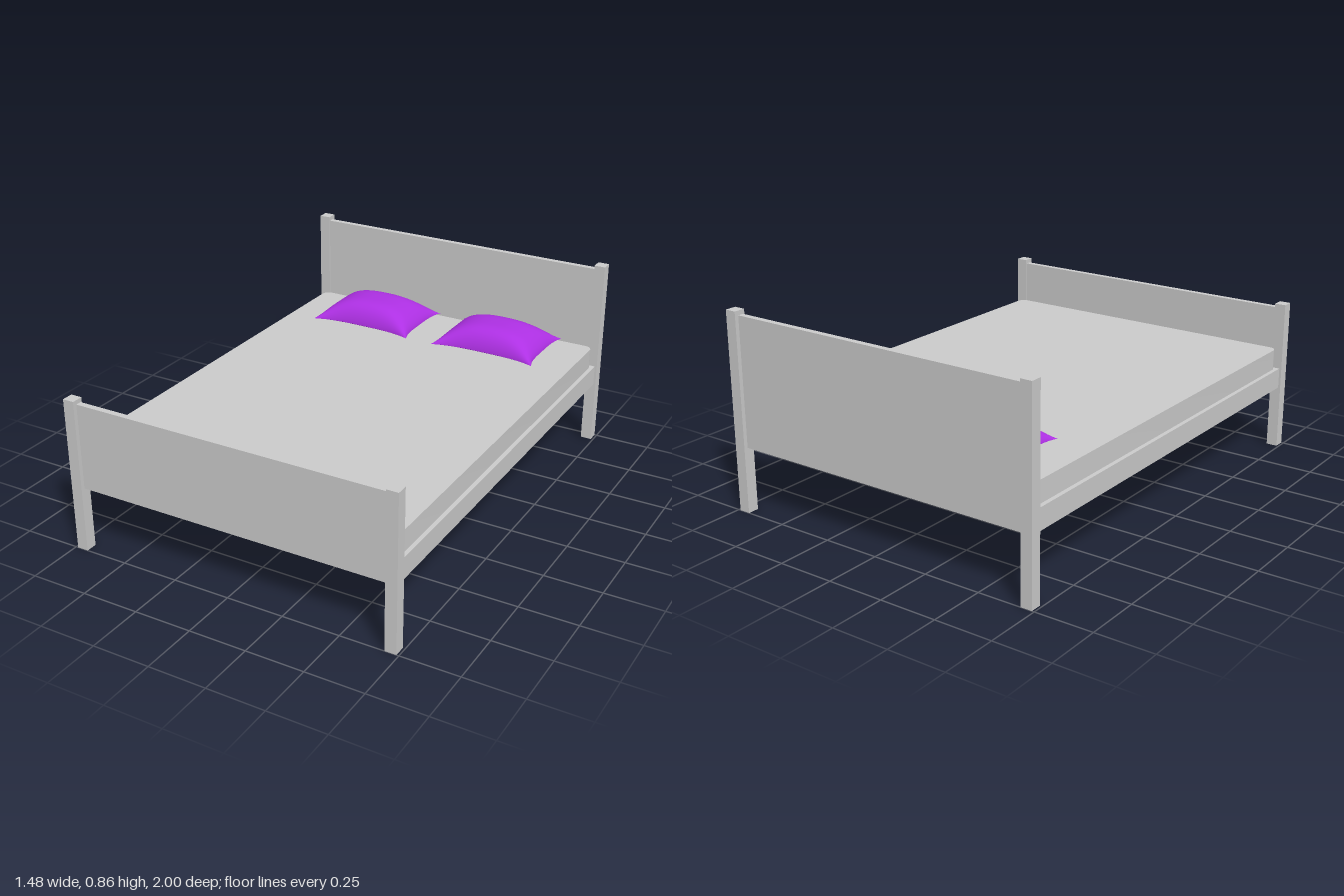
import * as THREE from 'three';
import { mergeGeometries, toCreasedNormals } from 'three/addons/utils/BufferGeometryUtils.js';

const grey = new THREE.MeshStandardMaterial({ color: 0xcccccc });
grey.name = 'grey';
const purple = new THREE.MeshStandardMaterial({ color: 0xae30e4 });
purple.name = 'purple';

// Box given by its minimum and maximum corners
function box(name, [x0, y0, z0], [x1, y1, z1]) {
  const mesh = new THREE.Mesh(new THREE.BoxGeometry(x1 - x0, y1 - y0, z1 - z0), grey);
  mesh.position.set((x0 + x1) / 2, (y0 + y1) / 2, (z0 + z1) / 2);
  mesh.name = name;
  return mesh;
}

// Slab with rounded vertical corners
function mattress(hx, hz, r, y, height) {
  const s = new THREE.Shape();
  s.absarc(hx - r, hz - r, r, 0, Math.PI / 2);
  s.absarc(-hx + r, hz - r, r, Math.PI / 2, Math.PI);
  s.absarc(-hx + r, -hz + r, r, Math.PI, Math.PI * 1.5);
  s.absarc(hx - r, -hz + r, r, Math.PI * 1.5, Math.PI * 2);
  s.closePath();
  const geo = new THREE.ExtrudeGeometry(s, { depth: height, bevelEnabled: false, curveSegments: 8 });
  geo.rotateX(-Math.PI / 2);
  const mesh = new THREE.Mesh(toCreasedNormals(geo, 0.6), grey);
  mesh.position.y = y;
  mesh.name = 'mattress';
  return mesh;
}

// One puffed side of a pillow: pinched outline, height falling off to the seam
function pillowSide(hx, hz, puff) {
  const geo = new THREE.PlaneGeometry(2, 2, 28, 28);
  geo.rotateX(puff > 0 ? -Math.PI / 2 : Math.PI / 2);
  const p = geo.attributes.position;
  for (let i = 0; i < p.count; i++) {
    const u = Math.sin(p.getX(i) * Math.PI / 2);
    const v = Math.sin(p.getZ(i) * Math.PI / 2);
    const x = u * (hx - 0.022 * (1 - v ** 4));
    const z = v * (hz - 0.033 * (1 - Math.abs(u) ** 3));
    const dome = Math.max(0, 1 - Math.abs(u) ** 2.6) ** 0.65 * Math.max(0, 1 - v ** 4) ** 0.7;
    p.setXYZ(i, x, puff * dome, z);
  }
  geo.computeVertexNormals();
  return geo;
}

export function createModel() {
  const bed = new THREE.Group();
  bed.name = 'bed';

  // Corner posts, taller at the head
  for (const side of [-1, 1]) {
    const x0 = side > 0 ? 0.69 : -0.74;
    bed.add(box('footPost', [x0, 0, 0.95], [x0 + 0.05, 0.675, 1]));
    bed.add(box('headPost', [x0, 0, -1], [x0 + 0.05, 0.862, -0.95]));
  }

  // End panels
  bed.add(box('footboard', [-0.7, 0.283, 0.957], [0.7, 0.657, 0.983]));
  bed.add(box('headboard', [-0.7, 0.283, -0.983], [0.7, 0.843, -0.957]));

  // Solid base and mattress
  bed.add(box('base', [-0.73, 0.284, -0.96], [0.73, 0.375, 0.96]));
  bed.add(mattress(0.712, 0.95, 0.035, 0.375, 0.092));

  // Two pillows at the head
  const pillowGeo = mergeGeometries([pillowSide(0.25, 0.178, 0.098), pillowSide(0.25, 0.178, -0.014)]);
  for (const side of [1, -1]) {
    const pillow = new THREE.Mesh(pillowGeo, purple);
    pillow.position.set(side * 0.313, 0.483, -0.762);
    pillow.name = side > 0 ? 'leftPillow' : 'rightPillow';
    bed.add(pillow);
  }
  return bed;
}
